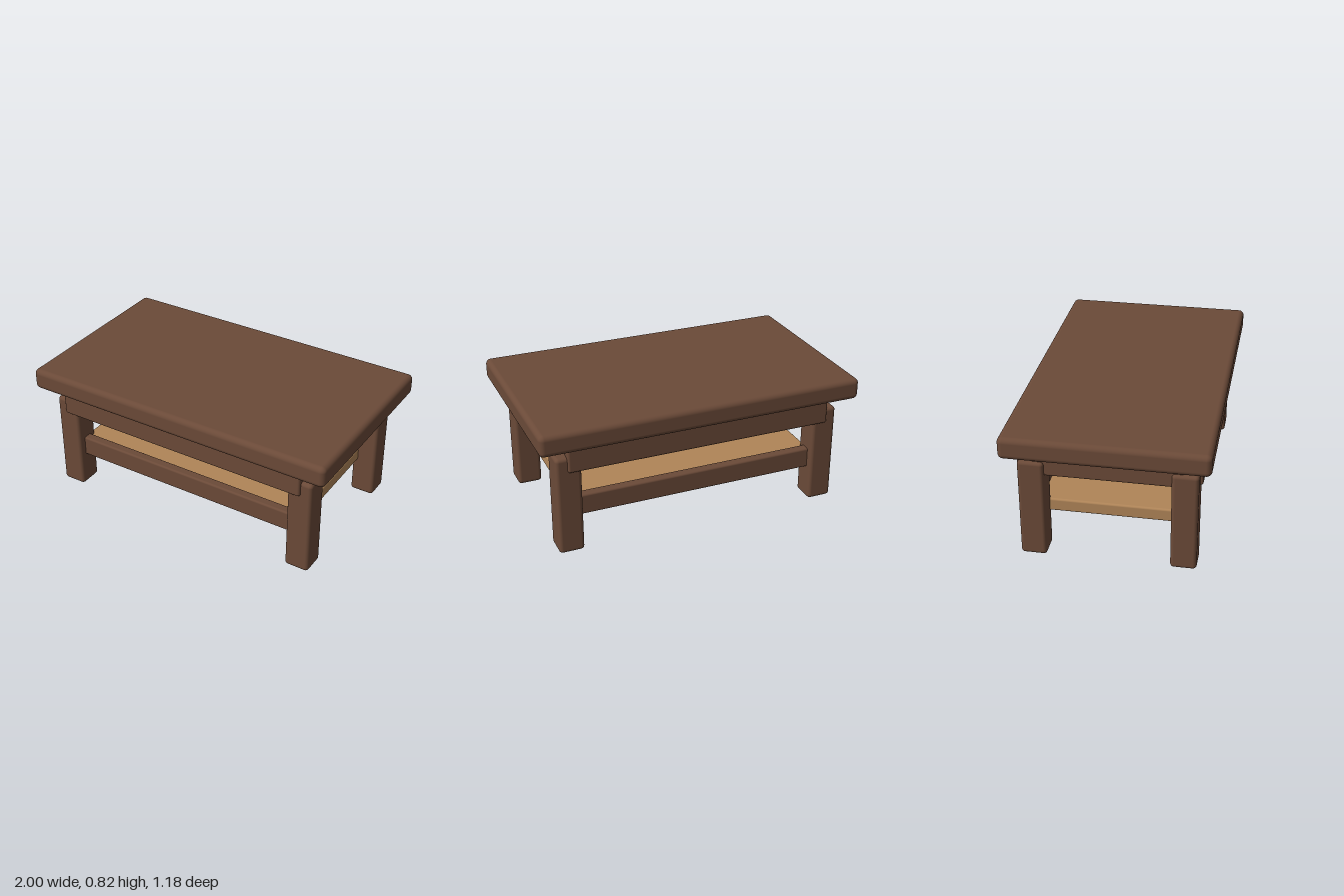
import * as THREE from 'three';
import { RoundedBoxGeometry } from 'three/addons/geometries/RoundedBoxGeometry.js';

export function createModel() {
  const table = new THREE.Group();
  table.name = 'coffeeTable';
  const darkWood = new THREE.MeshStandardMaterial({ color: 0x6b4a38 });
  darkWood.name = 'darkWood';
  const lightWood = new THREE.MeshStandardMaterial({ color: 0xb08558 });
  lightWood.name = 'lightWood';

  // Softly rounded board given by its size and centre
  function board(name, size, centre, radius, material = darkWood) {
    const mesh = new THREE.Mesh(new RoundedBoxGeometry(...size, 4, radius), material);
    mesh.name = name;
    mesh.position.set(...centre);
    table.add(mesh);
  }

  board('tableTop', [2, 0.133, 1.18], [0, 0.752, 0], 0.032);
  board('shelf', [1.55, 0.08, 0.82], [0, 0.275, 0], 0.012, lightWood);

  for (const s of [1, -1]) {
    const end = s > 0 ? 'Front' : 'Back';
    const side = s > 0 ? 'Left' : 'Right';
    // Aprons under the top, let into the legs
    board('apron' + end, [1.65, 0.17, 0.07], [0, 0.615, s * 0.495], 0.014);
    board('apron' + side, [0.07, 0.17, 0.87], [s * 0.84, 0.615, 0], 0.014);
    // Long rails carrying the shelf
    board('shelfRail' + end, [1.6, 0.128, 0.06], [0, 0.274, s * 0.437], 0.012);
    // Pair of legs on this side
    for (const t of [1, -1]) {
      board('leg' + (t > 0 ? 'Front' : 'Back') + side, [0.153, 0.62, 0.153],
        [s * 0.817, 0.31, t * 0.437], 0.022);
    }
  }
  return table;
}
